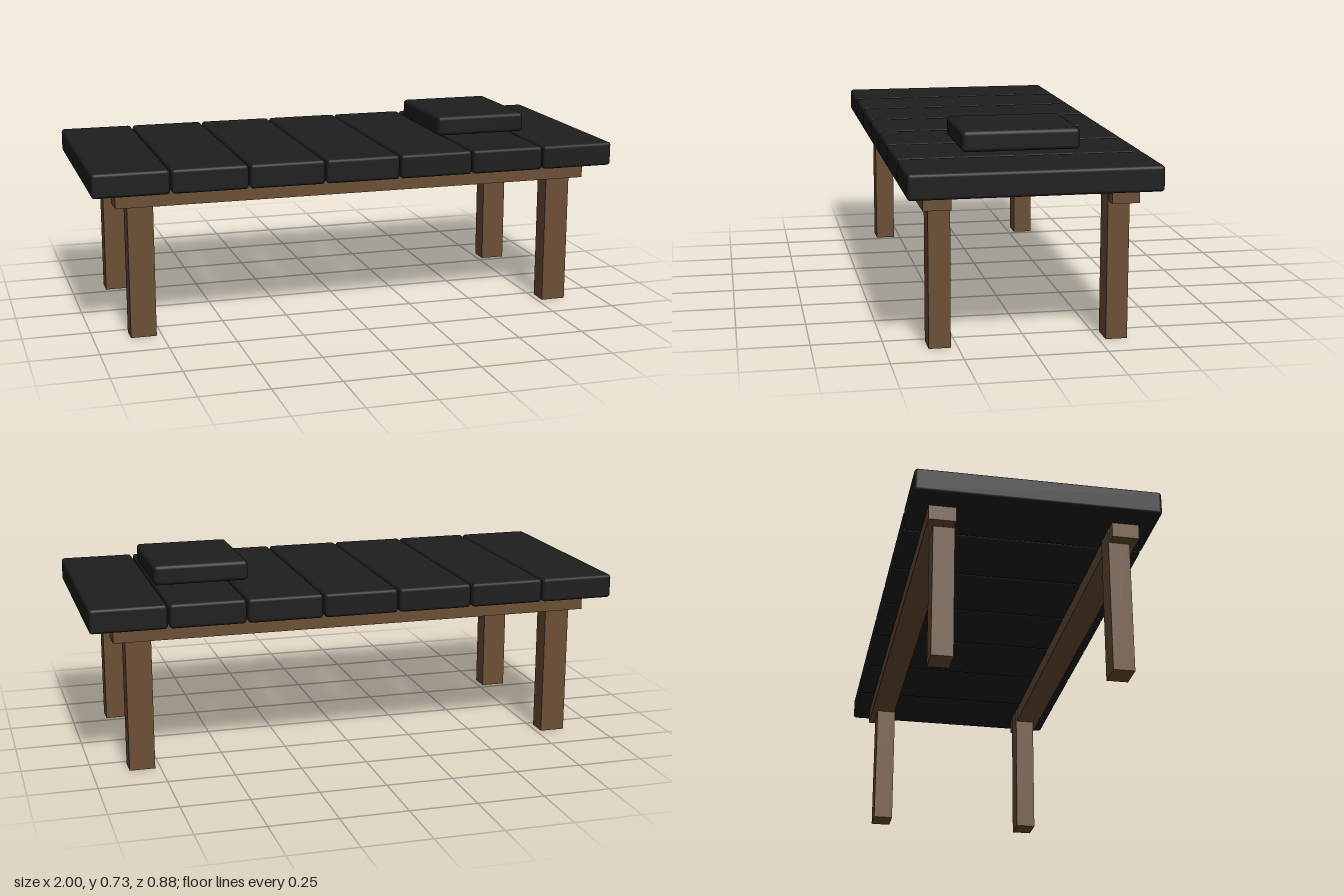
import * as THREE from 'three';
import { RoundedBoxGeometry } from 'three/addons/geometries/RoundedBoxGeometry.js';

export function createModel() {
  const group = new THREE.Group();
  const wood = new THREE.MeshStandardMaterial({ color: 0x6b4f35 });
  const leather = new THREE.MeshStandardMaterial({ color: 0x1e1e1e });

  const add = (name, geometry, material, x, y, z) => {
    const mesh = new THREE.Mesh(geometry, material);
    mesh.name = name;
    mesh.position.set(x, y, z);
    group.add(mesh);
  };

  // Seven cushions side by side with narrow gaps
  const count = 7, padWidth = 0.28, pitch = (2 - padWidth) / (count - 1);
  const padGeometry = new RoundedBoxGeometry(padWidth, 0.09, 0.875, 3, 0.012);
  for (let i = 0; i < count; i++) {
    add('seatCushion', padGeometry, leather, (i - (count - 1) / 2) * pitch, 0.595, 0);
  }

  // Head pillow hovering just above the cushions
  add('pillow', new RoundedBoxGeometry(0.355, 0.075, 0.42, 3, 0.015), leather, 0.552, 0.6925, 0);

  // Long rails, reaching slightly into the cushions, and four square legs
  const railGeometry = new THREE.BoxGeometry(1.82, 0.09, 0.097);
  const legGeometry = new THREE.BoxGeometry(0.095, 0.55, 0.077);
  for (const sz of [1, -1]) {
    add('rail', railGeometry, wood, 0, 0.54, sz * 0.3265);
    for (const sx of [1, -1]) {
      add('leg', legGeometry, wood, sx * 0.8175, 0.275, sz * 0.3135);
    }
  }
  return group;
}
